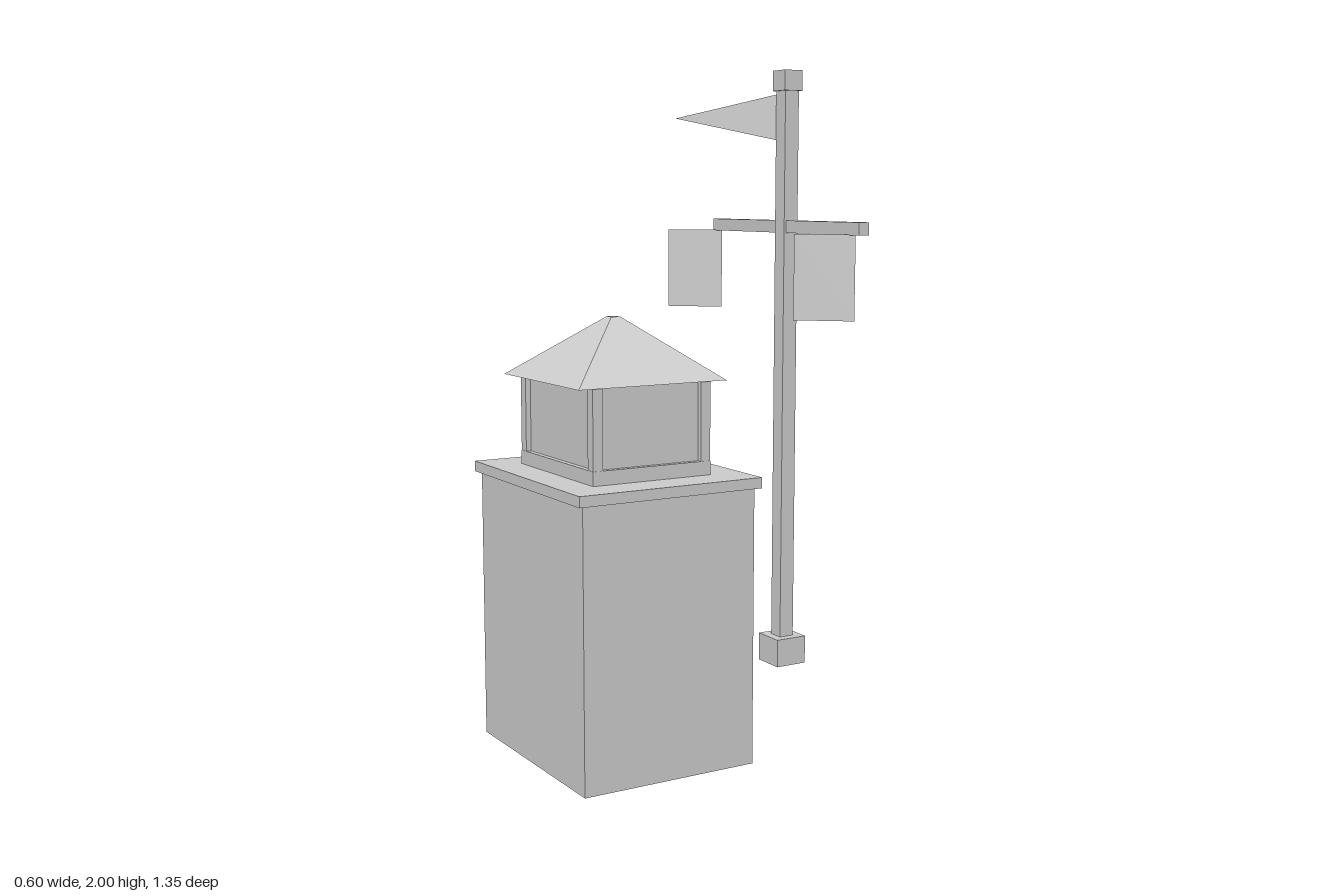
import * as THREE from 'three';

export function createModel() {
  const model = new THREE.Group();
  const grey = new THREE.MeshStandardMaterial({ color: 0xcccccc });
  grey.name = 'plain grey';
  const cloth = new THREE.MeshStandardMaterial({ color: 0xcccccc, side: THREE.DoubleSide });
  cloth.name = 'grey cloth';

  const add = (parent, name, geometry, x, y, z, material = grey) => {
    const mesh = new THREE.Mesh(geometry, material);
    mesh.name = name;
    mesh.position.set(x, y, z);
    parent.add(mesh);
    return mesh;
  };
  // Box standing on height y0 and reaching y1
  const block = (parent, name, w, y0, y1, d, x, z) =>
    add(parent, name, new THREE.BoxGeometry(w, y1 - y0, d), x, (y0 + y1) / 2, z);
  // Box whose upper face is narrowed to topW by topD
  const frustum = (w, h, d, topW, topD) => {
    const g = new THREE.BoxGeometry(w, h, d);
    const p = g.attributes.position;
    for (let i = 0; i < p.count; i++) {
      if (p.getY(i) > 0) p.setXYZ(i, Math.sign(p.getX(i)) * topW / 2, h / 2, Math.sign(p.getZ(i)) * topD / 2);
    }
    g.computeVertexNormals();
    return g;
  };

  // Tower with its overhanging deck
  const tower = new THREE.Group();
  tower.name = 'tower';
  tower.position.set(-0.005, 0, -0.328);
  model.add(tower);
  block(tower, 'towerBody', 0.564, 0, 0.836, 0.67, 0, 0);
  block(tower, 'deck', 0.598, 0.836, 0.868, 0.698, 0, 0);

  // Bevelled wall plates on the left side
  for (const [y0, y1, z] of [[0.598, 0.72, 0.18], [0.418, 0.593, 0], [0.598, 0.72, -0.18]]) {
    const h = y1 - y0;
    const plate = add(tower, 'wallPlate', frustum(h, 0.022, 0.127, h - 0.024, 0.103), 0.291, (y0 + y1) / 2, z);
    plate.rotation.z = -Math.PI / 2;
  }

  // Lookout cabin: sill, recessed walls, corner posts, rail
  const cabin = new THREE.Group();
  cabin.name = 'cabin';
  tower.add(cabin);
  block(cabin, 'cabinSill', 0.39, 0.868, 0.91, 0.466, 0, 0);
  block(cabin, 'cabinWalls', 0.356, 0.91, 1.146, 0.432, 0, 0);
  for (const sx of [-1, 1]) {
    for (const sz of [-1, 1]) {
      block(cabin, 'cornerPost', 0.032, 0.91, 1.146, 0.032, sx * 0.178, sz * 0.216);
    }
  }
  block(cabin, 'windowRail', 0.03, 1.027, 1.048, 0.404, 0.187, 0);
  add(cabin, 'roof', frustum(0.487, 0.18, 0.487, 0.03, 0.03), 0, 1.235, 0);

  // Signal mast with foot, cap and crossarm
  const mast = new THREE.Group();
  mast.name = 'mast';
  mast.position.set(0.148, 0, 0.342);
  model.add(mast);
  block(mast, 'mastFoot', 0.09, 0.42, 0.495, 0.09, 0, 0);
  block(mast, 'mastPole', 0.042, 0.495, 1.95, 0.042, 0, 0);
  block(mast, 'mastCap', 0.055, 1.948, 2, 0.055, 0, 0);
  block(mast, 'crossarm', 0.031, 1.583, 1.615, 0.67, 0, 0);

  // Flags blown diagonally towards the back right
  const flag = (name, points, x, y, z) => {
    const shape = new THREE.Shape(points.map(([u, v]) => new THREE.Vector2(u, v)));
    add(mast, name, new THREE.ShapeGeometry(shape), x, y, z, cloth).rotation.y = Math.PI * 0.75;
  };
  flag('pennant', [[0, -0.059], [0.275, 0], [0, 0.059]], -0.018, 1.881, -0.018);
  for (const z of [0.306, -0.31]) {
    flag('hangingFlag', [[0, -0.215], [0.154, -0.215], [0.154, 0], [0, 0]], -0.003, 1.585, z);
  }

  return model;
}
